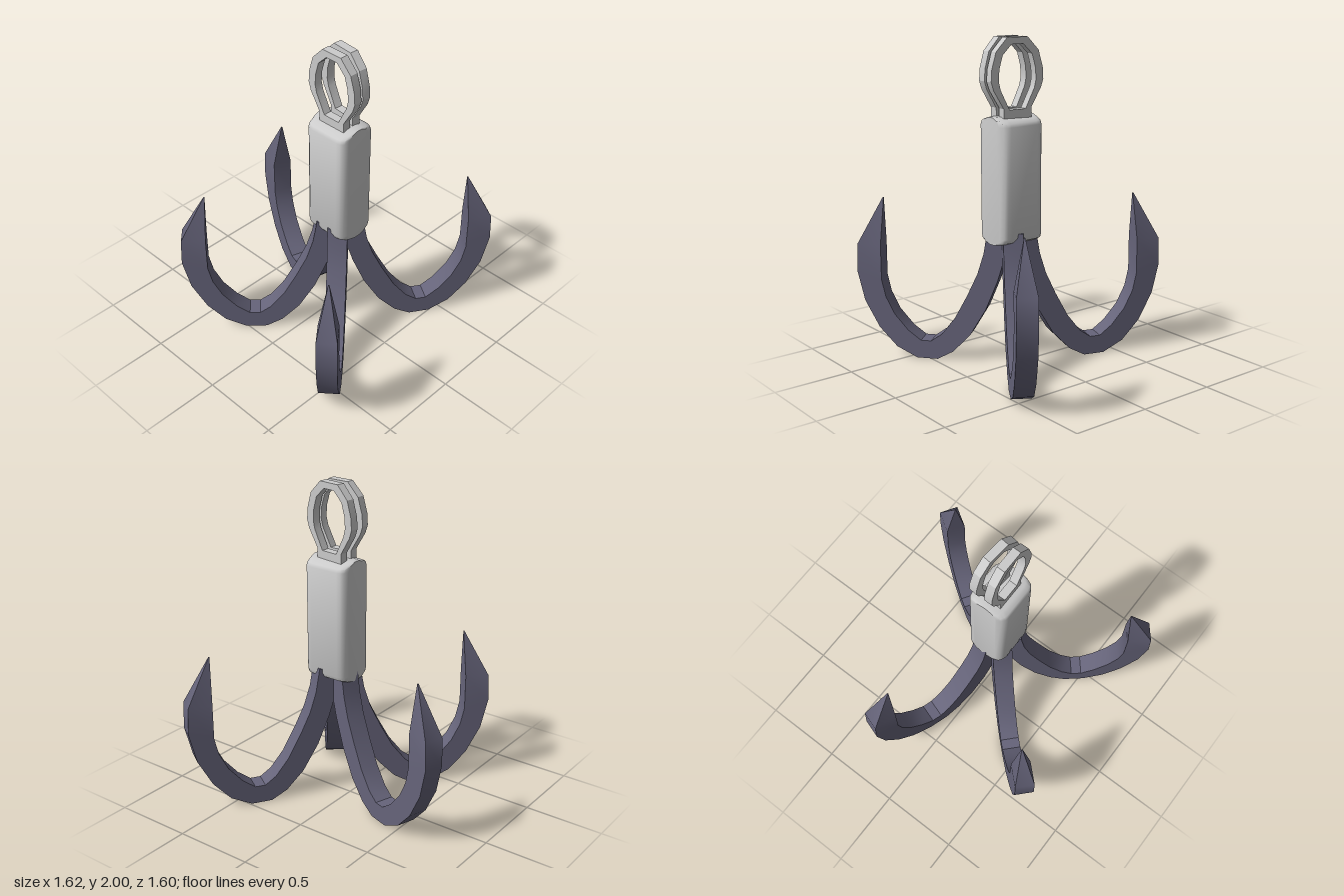
import * as THREE from 'three';
import { toCreasedNormals } from 'three/addons/utils/BufferGeometryUtils.js';

const CX = -0.04, CZ = 0.13; // axis of the shank

const v2 = (pts) => pts.map(([x, y]) => new THREE.Vector2(x, y));
const mirrored = (half) => [...half, ...half.slice().reverse().map(([x, y]) => [-x, y])];

// Rectangular bar swept through pairs of outer and inner points, ending in a point
function hookGeometry() {
  const sections = [ // outer r, outer y, inner r, inner y, half width
    [-0.01, 0.85, 0.135, 0.85, 0.06],
    [0.03, 0.68, 0.16, 0.70, 0.06],
    [0.075, 0.53, 0.20, 0.57, 0.06],
    [0.15, 0.345, 0.265, 0.43, 0.06],
    [0.25, 0.175, 0.345, 0.28, 0.06],
    [0.36, 0.06, 0.43, 0.17, 0.06],
    [0.46, 0.005, 0.50, 0.12, 0.06],
    [0.59, 0.005, 0.565, 0.12, 0.06],
    [0.72, 0.07, 0.645, 0.18, 0.06],
    [0.83, 0.19, 0.73, 0.28, 0.06],
    [0.92, 0.36, 0.785, 0.39, 0.06],
    [0.965, 0.55, 0.81, 0.50, 0.06],
    [0.958, 0.72, 0.81, 0.72, 0.06],
    [0.805, 1.01, 0.80, 1.01, 0.003],
  ];
  const pos = [], index = [0, 1, 2, 0, 2, 3];
  sections.forEach(([ar, ay, br, by, w], i) => {
    pos.push(ar, ay, w, br, by, w, br, by, -w, ar, ay, -w);
    if (i === 0) return;
    for (let j = 0; j < 4; j++) {
      const k = (j + 1) % 4, p = (i - 1) * 4, q = i * 4;
      index.push(p + j, q + j, q + k, p + j, q + k, p + k);
    }
  });
  const last = (sections.length - 1) * 4;
  index.push(last, last + 2, last + 1, last, last + 3, last + 2);
  const geo = new THREE.BufferGeometry();
  geo.setAttribute('position', new THREE.Float32BufferAttribute(pos, 3));
  geo.setIndex(index);
  return toCreasedNormals(geo, 0.5);
}

// Block with a gently arched top and bottom and rounded upright corners
function shankGeometry() {
  const profile = mirrored([
    [0.03, 0.775], [0.09, 0.785], [0.12, 0.80], [0.13, 0.825],
    [0.13, 1.49], [0.12, 1.51], [0.09, 1.525], [0.03, 1.54],
  ]);
  const layers = [[-0.15, 0.62], [-0.14, 0.85], [-0.12, 0.96], [-0.095, 1],
    [0.095, 1], [0.12, 0.96], [0.14, 0.85], [0.15, 0.62]];
  const geo = new THREE.ExtrudeGeometry(new THREE.Shape(v2(profile)),
    { depth: layers.length - 1, steps: layers.length - 1, bevelEnabled: false });
  const p = geo.attributes.position;
  for (let i = 0; i < p.count; i++) {
    const [z, s] = layers[Math.round(p.getZ(i))];
    p.setXYZ(i, p.getX(i) * s, p.getY(i), z);
  }
  return toCreasedNormals(geo, 0.7);
}

// Flat faceted eye on a short foot
function eyeGeometry() {
  const shape = new THREE.Shape(v2(mirrored([
    [0.095, 1.50], [0.095, 1.59], [0.162, 1.70], [0.178, 1.75],
    [0.174, 1.82], [0.145, 1.92], [0.07, 2.0],
  ])));
  shape.holes.push(new THREE.Path(v2(mirrored([
    [0.055, 1.582], [0.115, 1.70], [0.127, 1.75],
    [0.123, 1.82], [0.10, 1.90], [0.04, 1.96],
  ]))));
  const geo = new THREE.ExtrudeGeometry(shape, { depth: 0.052, bevelEnabled: false });
  geo.translate(0, 0, -0.026);
  geo.rotateY(-Math.PI / 2);
  return toCreasedNormals(geo, 0.3);
}

export function createModel() {
  const model = new THREE.Group();
  model.name = 'grapplingHook';
  const steel = new THREE.MeshStandardMaterial({ color: 0xcccccc });
  const iron = new THREE.MeshStandardMaterial({ color: 0x66647a });

  const add = (name, geo, mat, x, turn = 0) => {
    const mesh = new THREE.Mesh(geo, mat);
    mesh.name = name;
    mesh.position.set(x, 0, CZ);
    mesh.rotation.y = turn;
    model.add(mesh);
  };

  add('shank', shankGeometry(), steel, CX);

  // Pair of rope eyes, one slightly twisted
  const eye = eyeGeometry();
  add('rightEye', eye, steel, -0.083);
  add('leftEye', eye, steel, 0.002, -0.1);

  // Four prongs spread unevenly around the shank
  const hook = hookGeometry();
  const prongs = {
    backLeftProng: [0.30, -0.91], backRightProng: [-0.70, -0.66],
    frontRightProng: [-0.74, 0.625], frontLeftProng: [0.82, 0.525],
  };
  for (const [name, [dx, dz]] of Object.entries(prongs)) {
    add(name, hook, iron, CX, Math.atan2(-dz, dx));
  }
  return model;
}
